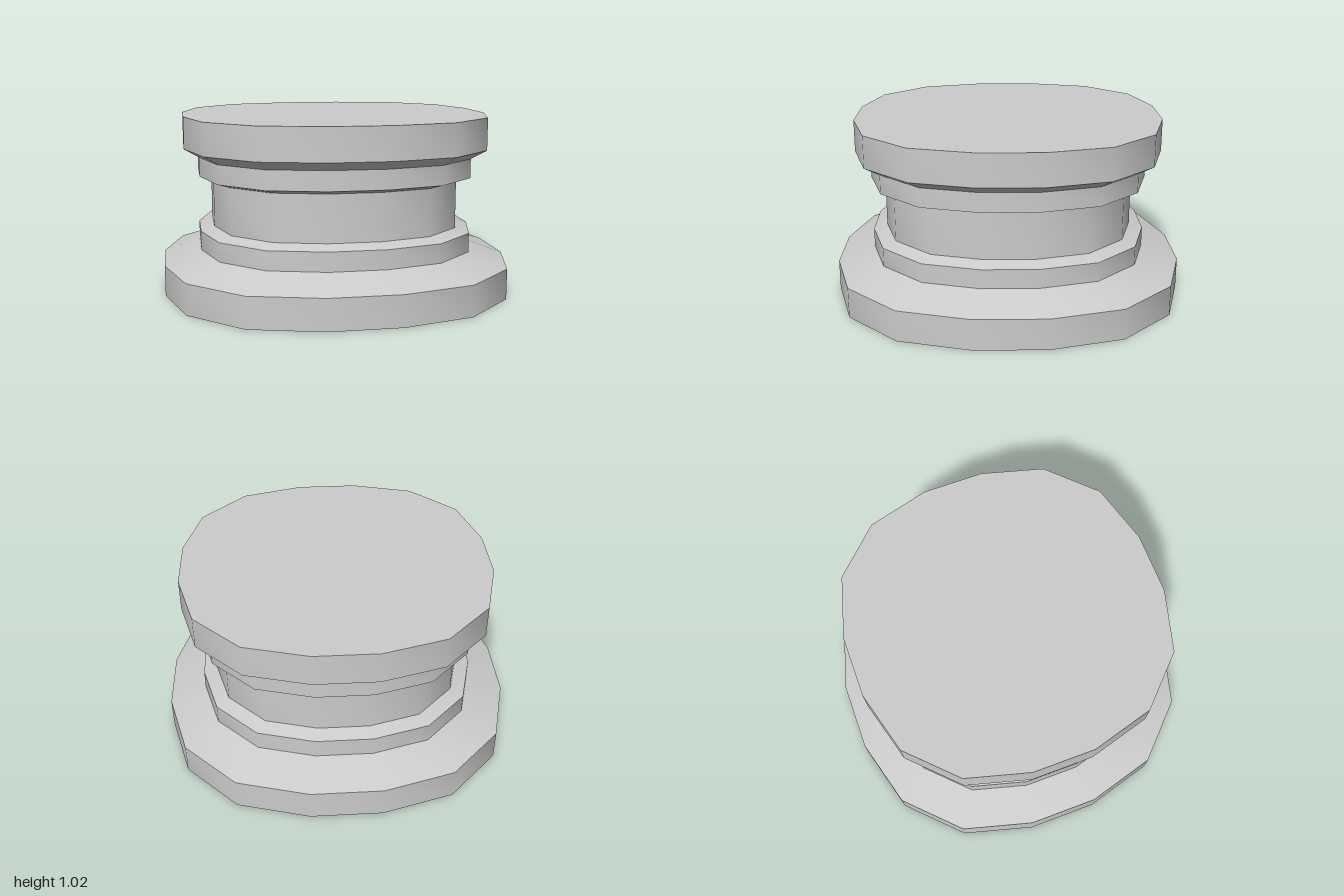
import * as THREE from 'three';
import { toCreasedNormals } from 'three/addons/utils/BufferGeometryUtils.js';

// One quarter of the rounded-square, 16-sided outline as [x, z]
const quarter = [[0.2, 1], [0.6, 0.89], [0.89, 0.6], [1, 0.2]];
const outline = [];
for (let q = 0; q < 4; q++) {
  for (const [x, z] of quarter) {
    outline.push([[x, z], [z, -x], [-x, -z], [-z, x]][q]);
  }
}

// Sweeps a [scale, height] profile around the outline
function ring(name, profile, material) {
  const sides = outline.length;
  const geometry = new THREE.LatheGeometry(profile.map(([s, y]) => new THREE.Vector2(s, y)), sides);
  const position = geometry.attributes.position;
  for (let i = 0; i <= sides; i++) {
    const [x, z] = outline[i % sides];
    profile.forEach(([s, y], j) => position.setXYZ(i * profile.length + j, x * s, y, z * s));
  }
  const mesh = new THREE.Mesh(toCreasedNormals(geometry, 0.6), material);
  mesh.name = name;
  return mesh;
}

export function createModel() {
  const group = new THREE.Group();
  group.name = 'pedestal';
  const material = new THREE.MeshStandardMaterial({ color: 0xcccccc });

  // Parts meet edge to edge, from the floor to the flat top
  const parts = {
    base: [[0, 0], [1, 0], [1, 0.175], [0.79, 0.252]],
    lowerCollar: [[0.79, 0.252], [0.79, 0.36], [0.713, 0.386]],
    waist: [[0.713, 0.386], [0.713, 0.651]],
    upperCollar: [[0.713, 0.651], [0.79, 0.676], [0.79, 0.785]],
    topSlab: [[0.79, 0.785], [0.875, 0.836], [0.875, 1.018], [0, 1.018]],
  };
  for (const [name, profile] of Object.entries(parts)) {
    group.add(ring(name, profile, material));
  }
  return group;
}
